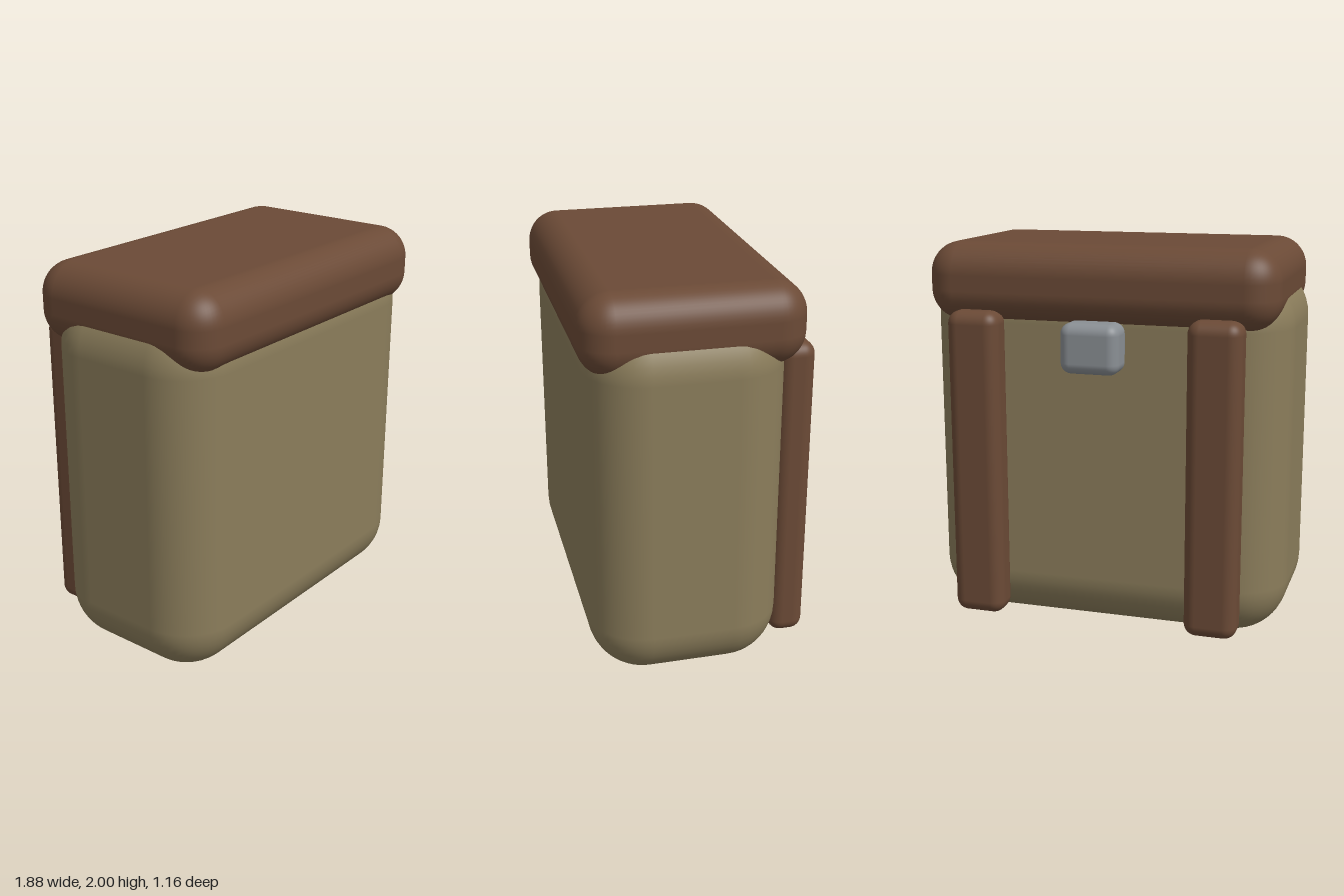
import * as THREE from 'three';
import { RoundedBoxGeometry } from 'three/addons/geometries/RoundedBoxGeometry.js';

const canvas = new THREE.MeshStandardMaterial({ color: 0x8b7d5b });
const leather = new THREE.MeshStandardMaterial({ color: 0x6b4a36 });
const metal = new THREE.MeshStandardMaterial({ color: 0x8a8f94 });

// Rounded box given by its lowest and highest corner
function roundedPart(name, min, max, radius, material) {
  const [w, h, d] = max.map((v, i) => v - min[i]);
  const mesh = new THREE.Mesh(new RoundedBoxGeometry(w, h, d, 6, radius), material);
  mesh.position.set(...max.map((v, i) => (v + min[i]) / 2));
  mesh.name = name;
  return mesh;
}

export function createModel() {
  const group = new THREE.Group();
  group.name = 'backpack';

  // Main bag
  group.add(roundedPart('body', [-0.94, 0, -0.42], [0.94, 1.88, 0.545], 0.28, canvas));

  // Lid flap, overhanging front and back but slightly narrower than the bag
  group.add(roundedPart('lid', [-0.9, 1.6, -0.5], [0.9, 2, 0.58], 0.16, leather));

  // Shoulder straps on the back
  for (const [name, x] of [['leftStrap', 0.615], ['rightStrap', -0.615]]) {
    group.add(roundedPart(name, [x - 0.135, 0.08, -0.575], [x + 0.135, 1.67, -0.395], 0.065, leather));
  }

  // Metal buckle between the straps
  group.add(roundedPart('buckle', [-0.15, 1.385, -0.585], [0.15, 1.635, -0.4], 0.055, metal));

  return group;
}
